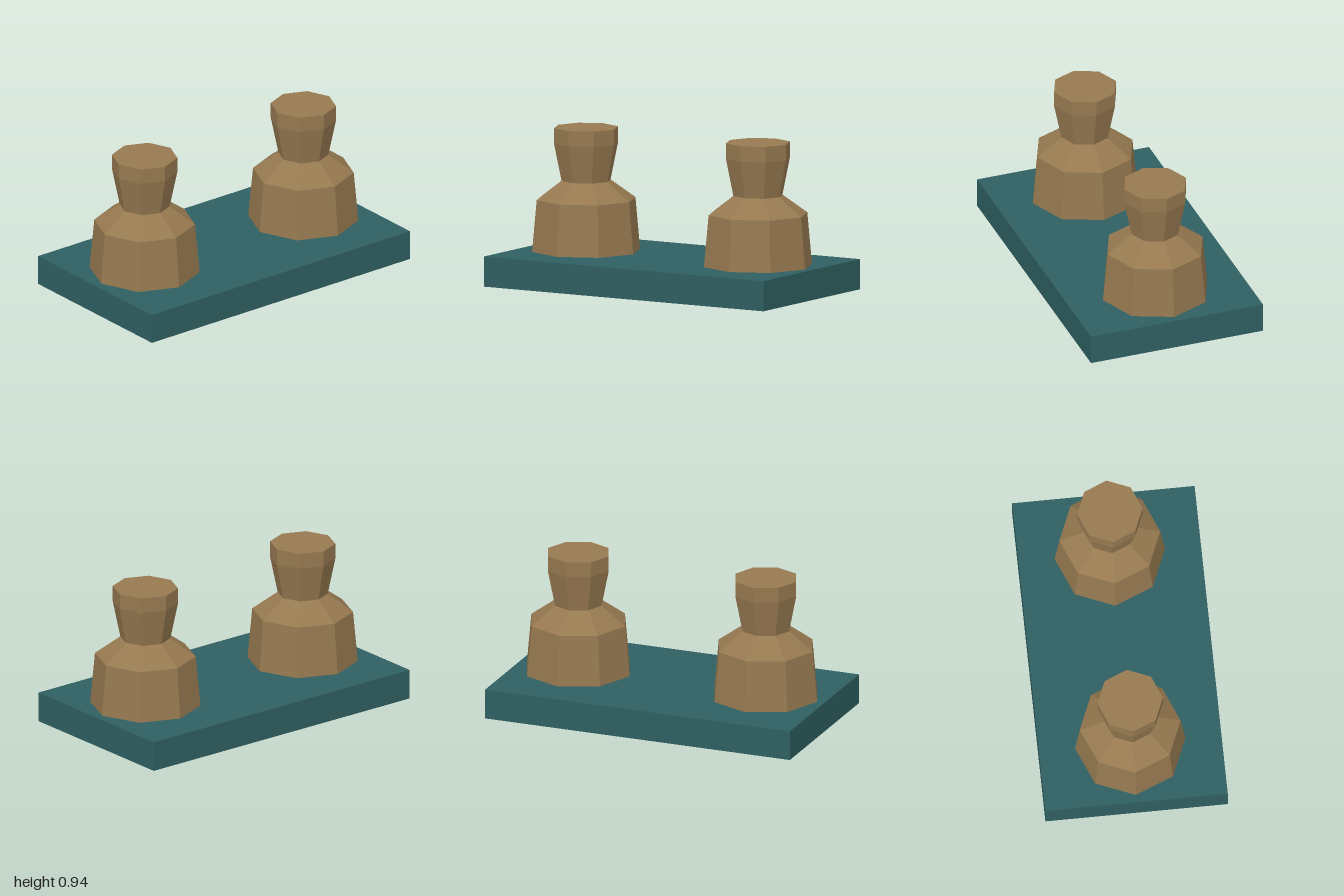
import * as THREE from 'three';

const teal = new THREE.MeshStandardMaterial({ color: 0x2f5f61, flatShading: true });
teal.name = 'teal paint';
const brown = new THREE.MeshStandardMaterial({ color: 0x967950, flatShading: true });
brown.name = 'brown metal';

// Eight-sided post outline as [radius, height], from the foot up to the flat cap
const outline = [
  [0, -0.001], [0.275, -0.001], [0.345, 0.1], [0.308, 0.502],
  [0.153, 0.615], [0.2, 0.845], [0.2, 0.94], [0, 0.94],
].map(([r, y]) => new THREE.Vector2(r, y));

export function createModel() {
  const model = new THREE.Group();
  model.name = 'twinBollard';

  // Base plate
  const base = new THREE.Mesh(new THREE.BoxGeometry(2, 0.185, 1.114), teal);
  base.name = 'basePlate';
  base.position.y = 0.0925;
  model.add(base);

  // Two matching posts whose feet pass through the plate
  const postGeometry = new THREE.LatheGeometry(outline, 8);
  for (const [name, x] of [['leftPost', 0.615], ['rightPost', -0.615]]) {
    const post = new THREE.Mesh(postGeometry, brown);
    post.name = name;
    post.position.x = x;
    model.add(post);
  }
  return model;
}
